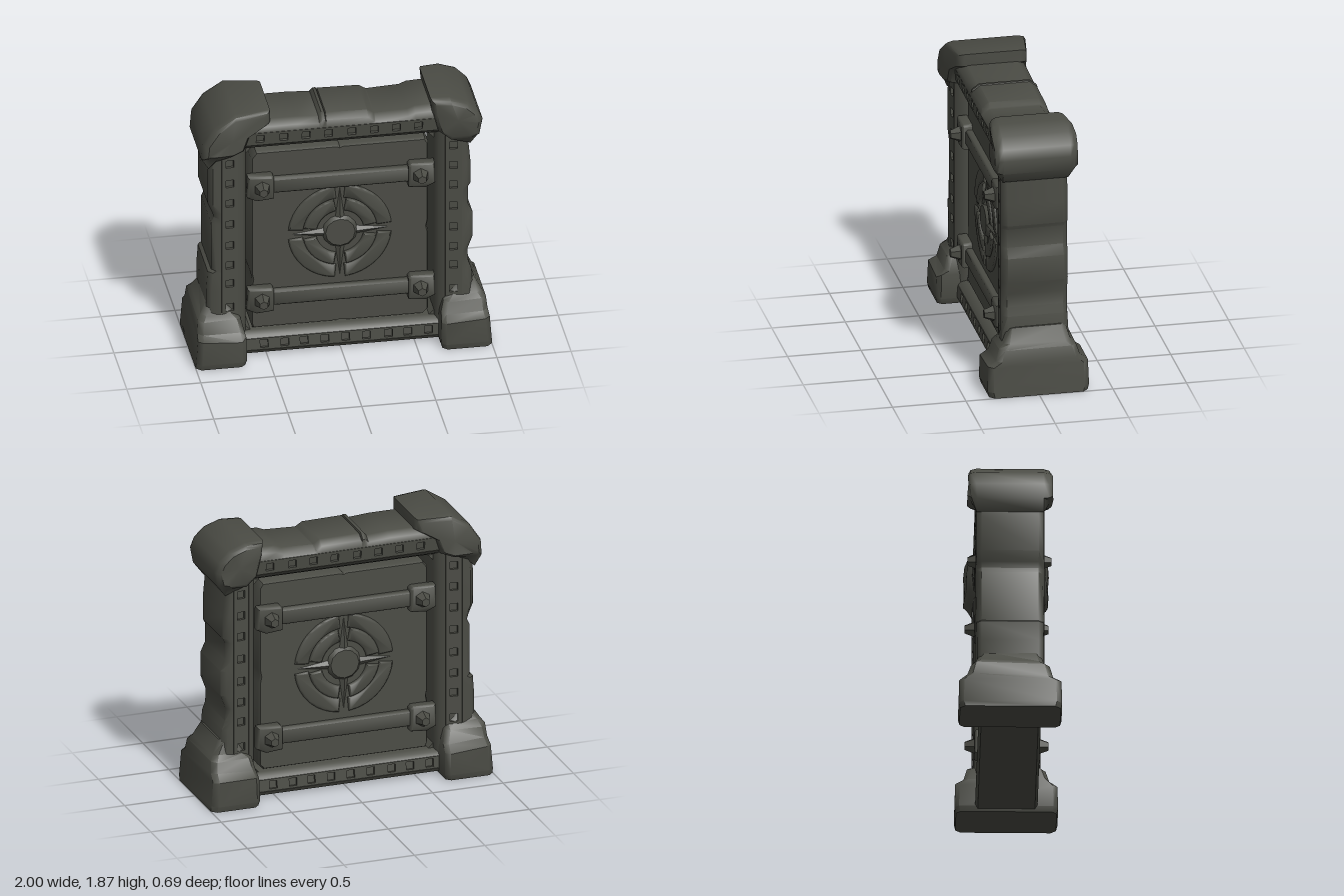
import * as THREE from 'three';
import { toCreasedNormals } from 'three/addons/utils/BufferGeometryUtils.js';

const V = (x, y, z) => new THREE.Vector3(x, y, z);
const CREASE = 0.8;

export function createModel() {
  const root = new THREE.Group();
  root.name = 'stoneGate';
  const stone = new THREE.MeshStandardMaterial({ color: 0x4b4c45 });
  stone.name = 'darkStone';

  let seed = 7;
  const rough = (a) => {
    seed = (seed * 16807) % 2147483647;
    return (seed / 2147483647 - 0.5) * 2 * a;
  };

  function add(parent, name, geo) {
    const mesh = new THREE.Mesh(toCreasedNormals(geo, CREASE), stone);
    mesh.name = name;
    parent.add(mesh);
    return mesh;
  }

  // Closed solid through equal-sized rings of points, wound outwards
  function loft(rings) {
    const n = rings[0].length, pts = rings.flat(), idx = [];
    for (let r = 0; r < rings.length - 1; r++) {
      for (let i = 0; i < n; i++) {
        const a = r * n + i, b = r * n + (i + 1) % n;
        idx.push(a, b, b + n, a, b + n, a + n);
      }
    }
    [0, rings.length - 1].forEach((r, end) => {
      const c = V(0, 0, 0);
      rings[r].forEach((p) => c.addScaledVector(p, 1 / n));
      const k = pts.push(c) - 1;
      for (let i = 0; i < n; i++) {
        const a = r * n + i, b = r * n + (i + 1) % n;
        idx.push(...(end ? [a, b, k] : [b, a, k]));
      }
    });
    let volume = 0;
    for (let i = 0; i < idx.length; i += 3) {
      volume += pts[idx[i]].dot(V(0, 0, 0).crossVectors(pts[idx[i + 1]], pts[idx[i + 2]]));
    }
    if (volume < 0) idx.reverse();
    const g = new THREE.BufferGeometry().setFromPoints(pts);
    g.setIndex(idx);
    return g;
  }

  const bothFaces = (half) => [...half, ...half.map(([u, z]) => [u, -z]).reverse()];
  const polygon = (pts) => new THREE.Shape(pts.map(([x, y]) => new THREE.Vector2(x, y)));

  // Jambs: rounded section with a channel for the trim, worn outer edge as [height, outer distance]
  const jambs = {
    1: [[0.05, 0.9], [0.4, 0.89], [0.53, 0.88], [0.59, 0.858], [0.68, 0.855], [0.775, 0.89], [0.95, 0.89],
      [1.02, 0.858], [1.15, 0.858], [1.18, 0.875], [1.34, 0.875], [1.5, 0.86], [1.7, 0.86]],
    [-1]: [[0.05, 0.91], [0.53, 0.91], [0.67, 0.9], [0.685, 0.877], [1.04, 0.877], [1.08, 0.858],
      [1.12, 0.87], [1.19, 0.9], [1.44, 0.9], [1.7, 0.88]],
  };
  for (const s of [1, -1]) {
    add(root, s > 0 ? 'leftJamb' : 'rightJamb', loft(jambs[s].map(([y, o]) => bothFaces([
      [0.637, 0.14], [0.662, 0.19], [0.698, 0.215], [0.702, 0.198], [0.808, 0.208], [0.812, 0.228],
      [o - 0.03, 0.222 + rough(0.005)], [o, 0.19],
    ]).map(([u, z]) => V(s * u, y, z)))));
  }

  // Header: broken top edge as [x, height], with shallow joints between stones
  const top = [[-0.8, 1.78], [-0.48, 1.785], [-0.3, 1.785], [-0.15, 1.775], [-0.13, 1.8], [-0.11, 1.8], [-0.105, 1.785],
    [-0.1, 1.795], [0.18, 1.79], [0.22, 1.765], [0.23, 1.76], [0.45, 1.77], [0.5, 1.79], [0.6, 1.795], [0.8, 1.79]];
  add(root, 'header', loft(top.map(([x, t]) => bothFaces([
    [1.55, 0.12], [1.58, 0.18], [1.613, 0.215], [1.617, 0.198], [1.708, 0.206], [1.712, 0.228],
    [t - 0.035, 0.217 + rough(0.005)], [t, 0.17],
  ]).map(([u, z]) => V(x, u, z)))));

  // Sill
  add(root, 'sill', loft([-0.8, 0.8].map((x) => bothFaces([
    [0.17, 0.14], [0.152, 0.18], [0.132, 0.198], [0.128, 0.18], [0.052, 0.188], [0.048, 0.208], [0.02, 0.19],
  ]).map(([u, z]) => V(x, u, z)))));

  // Small fillets in the corners of the opening
  for (const s of [1, -1]) {
    for (const [y, d] of [[1.555, -1], [0.165, 1]]) {
      const tri = [[s * 0.64, y], [s * 0.598, y], [s * 0.64, y + d * 0.042]];
      add(root, 'openingFillet', loft([-0.14, 0.14].map((z) => tri.map(([a, b]) => V(a, b, z)))));
    }
  }

  // Corner capstones: outline shrinking toward the faces, cut off below a floor height, thinner at the inner end
  const caps = {
    rightCapstone: [[-0.9, 1.45], [-0.95, 1.55], [-0.94, 1.66], [-0.86, 1.78], [-0.72, 1.87], [-0.48, 1.865],
      [-0.48, 1.78], [-0.62, 1.7], [-0.66, 1.59], [-0.74, 1.56], [-0.85, 1.52]],
    leftCapstone: [[0.87, 1.5], [0.93, 1.58], [0.95, 1.68], [0.92, 1.75], [0.85, 1.82], [0.73, 1.86],
      [0.6, 1.86], [0.61, 1.76], [0.65, 1.61], [0.73, 1.55]],
  };
  const capHalf = [[0.283, 0.81, 1.585], [0.262, 0.94, 1.56], [0.225, 1, 1.47]];
  const capStations = [...capHalf, ...capHalf.map(([z, k, f]) => [-z, k, f]).reverse()];
  for (const [name, outline] of Object.entries(caps)) {
    const cx = name === 'leftCapstone' ? 0.77 : -0.74, cy = 1.69;
    add(root, name, loft(capStations.map(([z, k, floor]) => outline.map(([x, y]) => {
      const thin = 1 - 0.5 * Math.max(0, 0.76 - Math.abs(x));
      return V(cx + (x - cx) * k, Math.max(floor, cy + (y - cy) * k), z * thin + rough(0.005));
    }))));
  }

  // Stepped feet as [height, inner x, outer x, half depth]
  const foot = [[0, 0.665, 1, 0.335], [0.04, 0.655, 0.998, 0.345], [0.2, 0.66, 0.985, 0.34], [0.245, 0.665, 0.98, 0.285],
    [0.325, 0.685, 0.972, 0.262], [0.36, 0.72, 0.95, 0.225], [0.45, 0.76, 0.9, 0.2]];
  for (const s of [1, -1]) {
    add(root, s > 0 ? 'leftFoot' : 'rightFoot', loft(foot.map(([y, a, b, d]) =>
      bothFaces([[a, d - 0.03], [a + 0.03, d], [b - 0.035, d], [b, d - 0.035]])
        .map(([u, z]) => V(s * u, y + (y > 0.1 ? rough(0.012) : 0), z)))));
  }

  // Door slab with clipped corners and small nicks
  const doorShape = polygon([[-0.58, 0.19], [-0.03, 0.19], [0, 0.195], [0.03, 0.19], [0.56, 0.19], [0.59, 0.22],
    [0.59, 0.8], [0.58, 0.85], [0.59, 0.9], [0.59, 1.48], [0.57, 1.51], [0.02, 1.51], [0, 1.5],
    [-0.02, 1.51], [-0.56, 1.51], [-0.59, 1.47], [-0.59, 0.6], [-0.58, 0.55], [-0.59, 0.5], [-0.59, 0.22]]);
  const doorGeo = new THREE.ExtrudeGeometry(doorShape,
    { depth: 0.25, bevelThickness: 0.02, bevelSize: 0.01, bevelSegments: 1 });
  add(root, 'doorSlab', doorGeo.translate(0, 0, -0.125));

  // Everything repeated on both faces of the gate
  const face = new THREE.Group();
  face.name = 'frontDetails';
  const DOOR = 0.145;

  const raised = (shape, height, bevel, steps = 6) => new THREE.ExtrudeGeometry(shape, {
    depth: height - bevel, bevelThickness: bevel, bevelSize: bevel, bevelOffset: -bevel,
    bevelSegments: 1, curveSegments: steps,
  });

  // Slightly tilted trim strip pierced by square sockets
  function trim(name, inner, outer, axis, length, sockets) {
    const across = outer.clone().sub(inner), w = across.length();
    across.normalize();
    const normal = V(0, 0, 1).addScaledVector(across, -across.z).normalize();
    const along = across.clone().cross(normal);
    const sign = Math.sign(along.dot(axis)), mid = inner.dot(axis), h = 0.027;
    const shape = polygon([[-length / 2, 0], [length / 2, 0], [length / 2, w], [-length / 2, w]]);
    for (const c of sockets) {
      const u = sign * (c - mid), v = w * 0.5;
      shape.holes.push(polygon([[u - h, v - h], [u - h, v + h], [u + h, v + h], [u + h, v - h]]));
    }
    const g = new THREE.ExtrudeGeometry(shape, { depth: 0.022, bevelEnabled: false }).translate(0, 0, -0.022);
    g.applyMatrix4(new THREE.Matrix4().makeBasis(along, across, normal).setPosition(inner));
    add(face, name, g);
  }
  const X = V(1, 0, 0), Y = V(0, 1, 0);
  const jambSockets = [0.4, 0.58, 0.72, 0.87, 1.03, 1.19, 1.34, 1.49];
  for (const s of [1, -1]) {
    trim('jambTrim', V(s * 0.7, 0.86, 0.217), V(s * 0.81, 0.86, 0.228), Y, 1.5, jambSockets);
  }
  trim('headerTrim', V(0, 1.615, 0.217), V(0, 1.71, 0.228), X, 1.4,
    [-0.55, -0.39, -0.24, -0.09, 0.07, 0.22, 0.37, 0.52]);
  trim('sillTrim', V(0, 0.13, 0.2), V(0, 0.05, 0.208), X, 1.4,
    [-0.52, -0.38, -0.25, -0.11, 0.03, 0.17, 0.32, 0.45, 0.59]);

  // Cross bands with end plates and studs
  for (const y of [0.42, 1.275]) {
    const band = raised(polygon([[-0.5, -0.055], [0.5, -0.055], [0.5, 0.055], [-0.5, 0.055]]), 0.045, 0.012);
    add(face, 'doorBand', band.translate(0, y, DOOR));
    for (const s of [1, -1]) {
      const pts = [[0.455, -0.085], [0.57, -0.095], [0.635, -0.065], [0.63, 0.09], [0.47, 0.09], [0.455, 0.075]];
      const plate = raised(polygon(pts.map(([x, v]) => [s * x, v])), 0.07, 0.012);
      add(face, 'bandPlate', plate.translate(0, y, DOOR));
      const stud = new THREE.CylinderGeometry(0.03, 0.06, 0.075, 6).rotateX(Math.PI / 2);
      add(face, 'bandStud', stud.translate(s * 0.535, y, DOOR + 0.097));
    }
  }

  // Round medallion: hub, four ring quarters, four tapered spokes
  const medallion = new THREE.Group();
  medallion.name = 'medallion';
  medallion.position.set(0, 0.87, DOOR);
  face.add(medallion);
  add(medallion, 'hub', new THREE.CylinderGeometry(0.1, 0.125, 0.03, 12).rotateX(Math.PI / 2).translate(0, 0, 0.01));
  for (let i = 0; i < 4; i++) {
    const a = i * Math.PI / 2;
    for (const [r0, r1, height, gap] of [[0.16, 0.25, 0.02, 0.17], [0.25, 0.35, 0.012, 0.1]]) {
      const arc = new THREE.Shape();
      arc.absarc(0, 0, r1, a + gap, a + Math.PI / 2 - gap, false);
      arc.absarc(0, 0, r0, a + Math.PI / 2 - gap, a + gap, true);
      add(medallion, 'ringQuarter', raised(arc, height, 0.01, 8));
    }
    const spoke = new THREE.ConeGeometry(0.03, 0.22, 4).scale(1, 1, 0.7).translate(0, 0.22, 0).rotateZ(a);
    add(medallion, 'spoke', spoke);
  }

  root.add(face);
  const back = face.clone();
  back.name = 'backDetails';
  back.rotation.y = Math.PI;
  root.add(back);
  return root;
}
